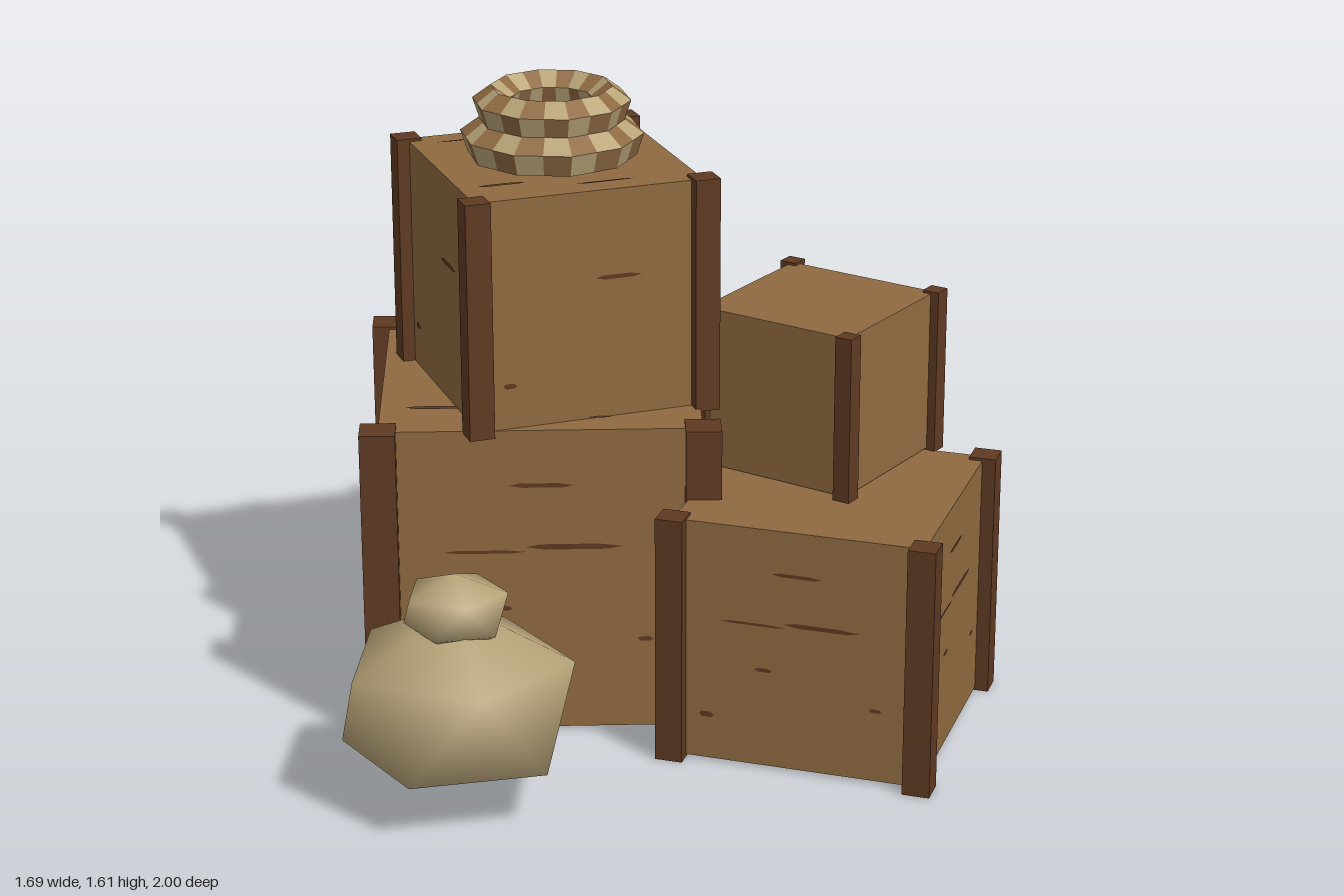
import * as THREE from 'three';

const mat = (name, color) => {
  const m = new THREE.MeshStandardMaterial({ color });
  m.name = name;
  return m;
};

export function createModel() {
  const root = new THREE.Group();
  root.name = 'cargoPile';
  const wood = mat('crateWood', 0x8f6a40);
  const post = mat('postWood', 0x5f3a22);
  const grain = mat('grainDark', 0x5e3a20);
  const stave = mat('barrelWood', 0x92683d);
  const iron = mat('bandIron', 0x31343f);
  const cloth = mat('sackCloth', 0xb9a579);
  const ropeDark = mat('ropeBrown', 0x8f6a42);

  const add = (parent, name, geo, material, x = 0, y = 0, z = 0) => {
    const m = new THREE.Mesh(geo, material);
    m.name = name;
    m.position.set(x, y, z);
    parent.add(m);
    return m;
  };

  // Grain marks on a face: u, v centre, width and height as fractions of it
  const longMarks = [[0.6, 0.615, 0.3, 0.018], [0.32, 0.6, 0.26, 0.01], [0.5, 0.82, 0.2, 0.014],
    [0.37, 0.41, 0.07, 0.016], [0.14, 0.19, 0.06, 0.022], [0.82, 0.3, 0.05, 0.014]];
  const shortMarks = [[0.62, 0.62, 0.2, 0.018], [0.14, 0.19, 0.06, 0.022]];
  const topMarks = [[0.25, 0.88, 0.3, 0.012], [0.7, 0.78, 0.22, 0.02], [0.3, 0.62, 0.12, 0.02],
    [0.8, 0.5, 0.2, 0.012], [0.18, 0.2, 0.2, 0.024], [0.6, 0.1, 0.26, 0.014]];

  const addMarks = (parent, marks, w, h) => {
    for (const [u, v, mw, mh] of marks) {
      const a = mw * w / 2, b = mh * h / 2;
      const shape = new THREE.Shape([[-a, 0], [-a * 0.6, -b], [a * 0.7, -b], [a, 0], [a * 0.5, b], [-a * 0.7, b]]
        .map(p => new THREE.Vector2(...p)));
      add(parent, 'grainMark', new THREE.ShapeGeometry(shape), grain, (u - 0.5) * w, (v - 0.5) * h, 0.003);
    }
  };

  // Crate: a box body with a square post on each corner
  const crate = (name, x, z, y0, y1, size, postSize, degrees, marks, tops) => {
    const g = new THREE.Group();
    g.name = name;
    g.position.set(x, 0, z);
    g.rotation.y = THREE.MathUtils.degToRad(degrees);
    root.add(g);
    const h = y1 - y0 - 0.015, mid = y0 + 0.008 + h / 2;
    add(g, 'crateBody', new THREE.BoxGeometry(size, h, size), wood, 0, mid, 0);
    for (const sx of [-1, 1]) for (const sz of [-1, 1])
      add(g, 'cornerPost', new THREE.BoxGeometry(postSize, y1 - y0, postSize), post,
        sx * size / 2, (y0 + y1) / 2, sz * size / 2);
    for (let i = 0; i < 4; i++) {
      const face = new THREE.Group();
      face.name = 'sideGrain';
      face.rotation.y = i * Math.PI / 2;
      face.position.set(Math.sin(face.rotation.y) * size / 2, mid, Math.cos(face.rotation.y) * size / 2);
      addMarks(face, marks, size, h);
      g.add(face);
    }
    const lid = new THREE.Group();
    lid.name = 'topGrain';
    lid.rotation.x = -Math.PI / 2;
    lid.position.y = mid + h / 2;
    addMarks(lid, tops, size, size);
    g.add(lid);
  };
  crate('largeCrate', -0.355, -0.06, 0, 0.83, 0.81, 0.09, 6, longMarks, topMarks);
  crate('upperCrate', -0.313, -0.022, 0.815, 1.425, 0.595, 0.065, 24, shortMarks, topMarks);
  crate('mediumCrate', 0.4125, 0.235, 0, 0.655, 0.64, 0.07, -14, longMarks, []);
  crate('smallCrate', 0.368, 0.023, 0.645, 1.08, 0.428, 0.046, -30, [], []);

  // Barrel with eight sides
  const barrel = new THREE.Group();
  barrel.name = 'barrel';
  barrel.position.set(0.328, 0, -0.7);
  root.add(barrel);
  const profile = [[0.265, 0.01], [0.281, 0.18], [0.288, 0.35], [0.281, 0.52], [0.265, 0.69]];
  add(barrel, 'barrelBody', new THREE.LatheGeometry(profile.map(p => new THREE.Vector2(...p)), 8), stave);
  for (const [y, s] of [[0.69, -1], [0.01, 1]]) {
    const cap = add(barrel, 'barrelEnd', new THREE.CircleGeometry(0.265, 8), stave, 0, y, 0);
    cap.rotation.x = s * Math.PI / 2;
  }
  for (const y of [0.145, 0.553])
    add(barrel, 'barrelBand', new THREE.CylinderGeometry(0.302, 0.302, 0.068, 8, 1, true), iron, 0, y, 0);
  // Dark stave seams laid on the flat sides
  for (const [angle, width] of [[0.5, 0.03], [1.95, 0.04], [3.3, 0.08], [4.5, 0.03], [5.6, 0.05]]) {
    const seam = new THREE.PlaneGeometry(1, 1, 1, 4), p = seam.attributes.position;
    const side = Math.PI / 4, centre = (Math.floor(angle / side) + 0.5) * side;
    for (let i = 0; i < p.count; i++) {
      const a = angle + p.getX(i) * width;
      const [r, y] = profile[Math.round((p.getY(i) + 0.5) * 4)];
      const d = r * Math.cos(side / 2) / Math.cos(a - centre) + 0.002;
      p.setXYZ(i, d * Math.sin(a), y, d * Math.cos(a));
    }
    seam.computeVertexNormals();
    add(barrel, 'staveSeam', seam, grain);
  }

  // Faceted lump: two opposed five-sided rings between a bottom and a top point
  const lump = (r, bottom, low, high, top) => {
    const pos = [], index = [];
    for (let i = 0; i < 10; i++) {
      const a = i * Math.PI / 5;
      pos.push(r * Math.cos(a), i % 2 ? low : high, r * 0.91 * Math.sin(a));
    }
    pos.push(0, top, 0, 0, bottom, 0);
    for (let i = 0; i < 10; i++) {
      const j = (i + 1) % 10, k = (i + 2) % 10;
      if (i % 2) index.push(i, j, k, 11, i, k);
      else index.push(j, i, k, i, 10, k);
    }
    const g = new THREE.BufferGeometry();
    g.setAttribute('position', new THREE.Float32BufferAttribute(pos, 3));
    g.setIndex(index);
    g.computeVertexNormals();
    return g;
  };
  add(root, 'sackBody', lump(0.288, 0.09, 0.155, 0.385, 0.53), cloth, -0.48, 0, 0.752);
  add(root, 'sackKnot', lump(0.128, 0.41, 0.475, 0.562, 0.608), cloth, -0.48, 0, 0.752);

  // Rope coil: ten-sided rings with a five-sided section and alternating patches
  const ropeRing = (R, y) => {
    const r = 0.05, patches = [[], []];
    const point = (i, j) => {
      const phi = i * Math.PI / 10, a = Math.PI / 2 + j * Math.PI * 0.4;
      const rho = (R + r * Math.cos(a)) * (i % 2 ? Math.cos(Math.PI / 10) : 1);
      return [rho * Math.cos(phi), r * Math.sin(a), rho * Math.sin(phi)];
    };
    for (let i = 0; i < 20; i++) for (let j = 0; j < 5; j++) {
      const a = point(i, j), b = point(i, j + 1), c = point(i + 1, j + 1), d = point(i + 1, j);
      patches[(i + j) % 2].push(...a, ...b, ...c, ...a, ...c, ...d);
    }
    patches.forEach((list, k) => {
      const g = new THREE.BufferGeometry();
      g.setAttribute('position', new THREE.Float32BufferAttribute(list, 3));
      g.computeVertexNormals();
      add(root, k ? 'ropeDarkStrands' : 'ropeLightStrands', g, k ? ropeDark : cloth, -0.312, y, -0.018);
    });
  };
  ropeRing(0.185, 1.475);
  ropeRing(0.153, 1.56);

  return root;
}
